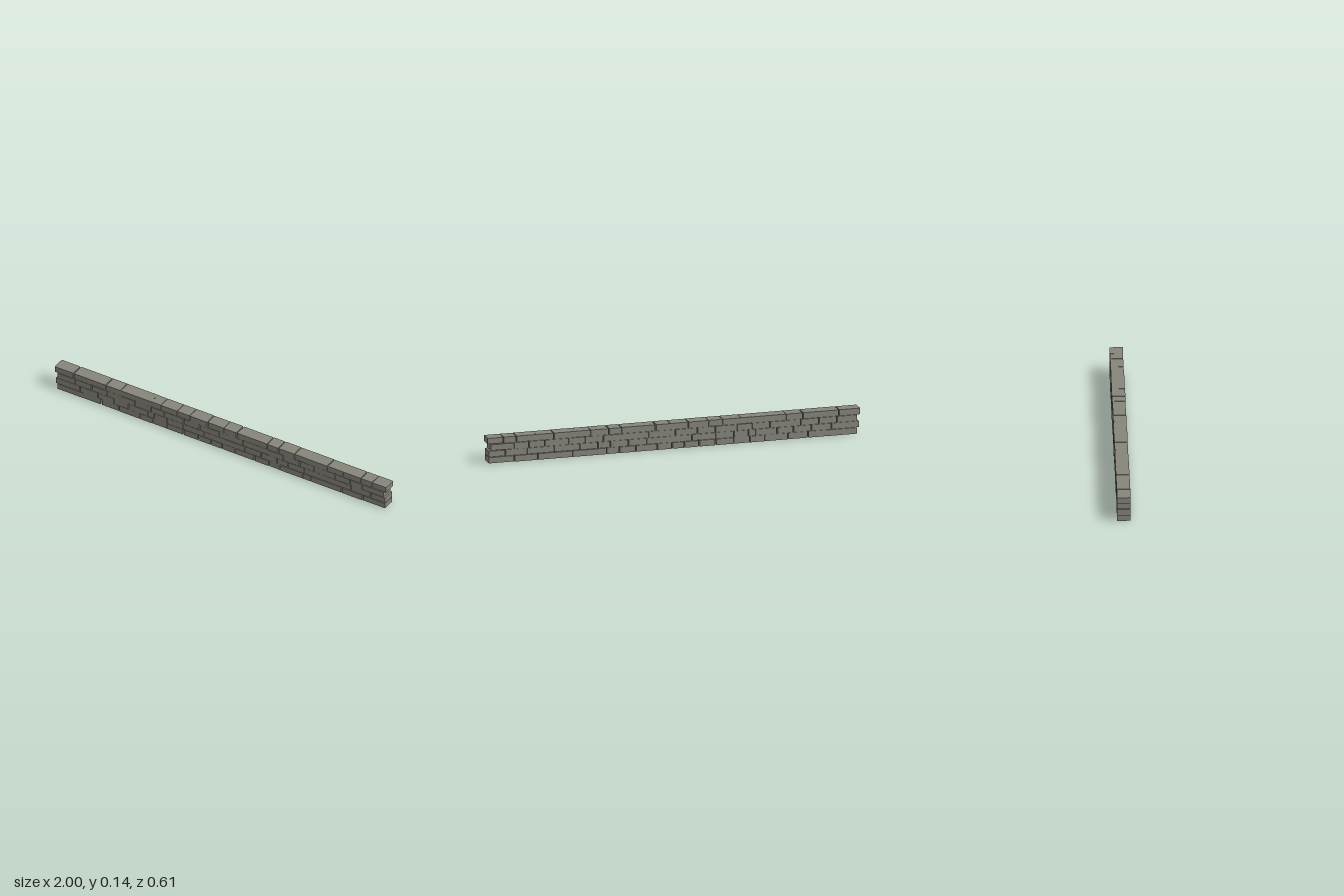
import * as THREE from 'three';

// Joint positions along the wall, one list per course from the ground up
const COURSES = [
  [-1.01, -0.85, -0.74, -0.63, -0.5, -0.42, -0.33, -0.23, -0.14, -0.06, 0.01, 0.09, 0.21, 0.3, 0.37, 0.51, 0.56, 0.75, 0.88, 1.02],
  [-1.02, -0.87, -0.76, -0.66, -0.57, -0.45, -0.41, -0.33, -0.23, -0.1, 0.02, 0.15, 0.25, 0.35, 0.42, 0.52, 0.66, 0.81, 0.93, 1.02],
  [-1.01, -0.9, -0.8, -0.7, -0.62, -0.53, -0.43, -0.35, -0.23, -0.13, -0.01, 0.14, 0.3, 0.39, 0.49, 0.58, 0.71, 0.8, 0.88, 1.01],
  [-1.027, -0.91, -0.71, -0.62, -0.43, -0.37, -0.27, -0.19, -0.08, 0.02, 0.1, 0.29, 0.36, 0.46, 0.54, 0.66, 0.76, 0.87, 0.94, 1.027],
];
const PITCH = 0.0347; // height of one course
const DEPTH = 0.07;
const ANGLE = 0.267; // the wall runs diagonally across the ground

// Small seeded generator for the irregular stone sizes
function seeded(seed) {
  return () => {
    seed = (seed * 16807) % 2147483647;
    return seed / 2147483647;
  };
}

export function createModel() {
  const group = new THREE.Group();
  group.name = 'stoneWall';
  const stone = new THREE.MeshStandardMaterial({ color: 0x87867c });
  stone.name = 'grey stone';
  const random = seeded(4271);

  const wall = new THREE.Group();
  wall.name = 'courses';
  wall.rotation.y = ANGLE;
  group.add(wall);

  COURSES.forEach((joints, row) => {
    const course = new THREE.Group();
    course.name = `course${row + 1}`;
    for (let i = 0; i < joints.length - 1; i++) {
      const first = i === 0;
      const last = i === joints.length - 2;
      // Narrow open joints between neighbours, flush outer ends
      const start = joints[i] + (first ? 0 : random() * 0.004);
      const end = joints[i + 1] - (last ? 0 : random() * 0.004);
      const height = last ? 0.0315 : PITCH - random() * 0.002;
      const depth = DEPTH + (first || last ? 0.001 : (random() - 0.5) * 0.005);
      const block = new THREE.Mesh(new THREE.BoxGeometry(end - start, height, depth), stone);
      block.name = 'stoneBlock';
      // Lowest stones rest on the ground, top stones reach the crest
      let y = (row + 0.5) * PITCH;
      if (row === 0 && !last) y = height / 2;
      if (row === 3) y = 4 * PITCH - height / 2;
      block.position.set((start + end) / 2, y, 0);
      course.add(block);
    }
    wall.add(course);
  });
  return group;
}
